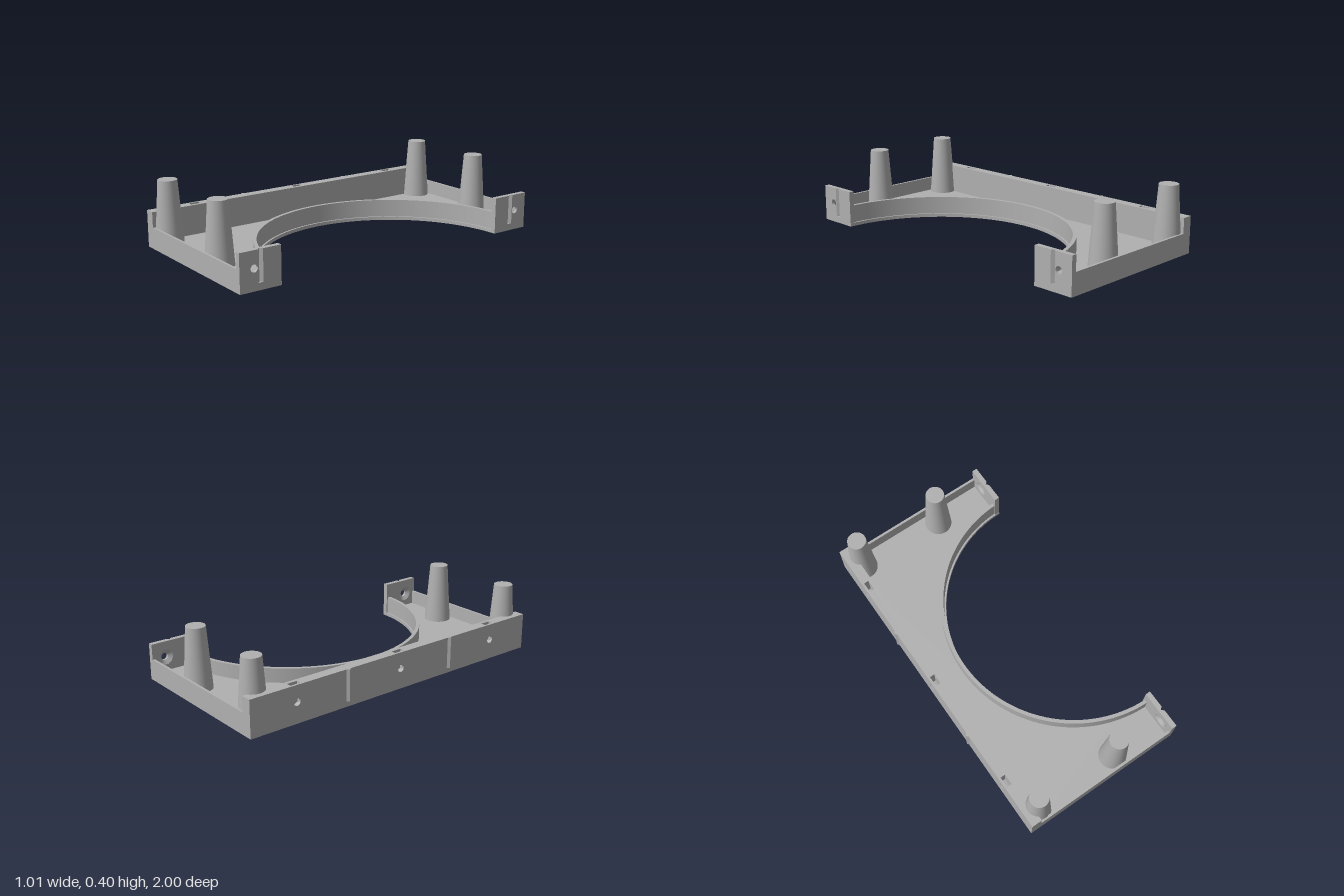
import * as THREE from 'three';
import { toCreasedNormals } from 'three/addons/utils/BufferGeometryUtils.js';

const plastic = new THREE.MeshStandardMaterial({ color: 0xb0b0b0, side: THREE.DoubleSide });
plastic.name = 'grey plastic';

const L = -0.493, R = 0.503;        // outer x limits
const WALL = 0.215, RIM = 0.125;    // tall and low wall heights
const BASE = 0.02, FLOOR = 0.04;
const POSTS = [[-0.395, 0.915], [0.145, 0.905]];

export function createModel() {
  const group = new THREE.Group();

  const add = (name, geometry, x = 0, y = 0, z = 0) => {
    const mesh = new THREE.Mesh(geometry, plastic);
    mesh.name = name;
    mesh.position.set(x, y, z);
    group.add(mesh);
    return mesh;
  };
  const outline = (pts) => new THREE.Shape(pts.map(([a, b]) => new THREE.Vector2(a, b)));
  const hole = (a, b, r) => new THREE.Path().absarc(a, b, r, 0, Math.PI * 2, true);
  const extrude = (shape, depth) => toCreasedNormals(
    new THREE.ExtrudeGeometry(shape, { depth, bevelEnabled: false, curveSegments: 72 }), 0.5);
  // plan shape (x, -z) raised from y0 to y1
  const plan = (name, shape, y0, y1) =>
    add(name, extrude(shape, y1 - y0).rotateX(-Math.PI / 2), 0, y0, 0);
  // upright shape (-z, y) running from x0 to x1
  const slab = (name, shape, x0, x1) =>
    add(name, extrude(shape, x1 - x0).rotateY(Math.PI / 2), x0, 0, 0);
  const box = (name, x0, x1, y0, y1, z0, z1) =>
    add(name, new THREE.BoxGeometry(x1 - x0, y1 - y0, z1 - z0),
      (x0 + x1) / 2, (y0 + y1) / 2, (z0 + z1) / 2);

  // rectangle with a half-round bite in its right side
  const bitten = (radius) => {
    const s = new THREE.Shape();
    s.moveTo(R, radius);
    s.absarc(R, 0, radius, Math.PI / 2, Math.PI * 1.5, false);
    [[R, -1], [L, -1], [L, 1], [R, 1]].forEach(([x, y]) => s.lineTo(x, y));
    return s;
  };

  // base plate with round recesses underneath, and the solid floor above it
  const base = bitten(0.753);
  for (const [x, z] of POSTS) for (const s of [1, -1]) base.holes.push(hole(x, s * z, 0.065));
  plan('basePlate', base, 0, BASE);
  const floor = bitten(0.77);
  plan('floor', floor, BASE, FLOOR);

  // curved rim, set back slightly from the base lip
  const rim = new THREE.Shape();
  const a0 = Math.PI / 2 + 0.02, a1 = Math.PI * 1.5 - 0.02;
  rim.absarc(R, 0, 0.785, a0, a1, false);
  rim.absarc(R, 0, 0.764, a1, a0, true);
  plan('curvedRim', rim, BASE, RIM);

  // long wall: drilled outer skin, slotted core, plain inner skin
  const stations = [-0.71, 0, 0.71];
  const rect = [[-1, BASE], [1, BASE], [1, WALL], [-1, WALL]];
  const skin = outline(rect);
  stations.forEach((z) => skin.holes.push(hole(z, 0.12, 0.021)));
  slab('longWallOuter', skin, L, -0.48);
  const core = [[-1, WALL], [-1, BASE], [1, BASE], [1, WALL]];
  [...stations].reverse().forEach((z) => core.push(
    [z + 0.032, WALL], [z + 0.032, 0.1], [z, 0.083], [z - 0.032, 0.1], [z - 0.032, WALL]));
  slab('longWallCore', outline(core), -0.48, -0.45);
  slab('longWallInner', outline(rect), -0.45, -0.43);

  for (const s of [1, -1]) {
    // locating rib on the long wall
    plan('locatingRib', outline([[L, s * 0.372 - 0.014], [L, s * 0.372 + 0.014], [-0.505, s * 0.372]]),
      0.03, WALL);

    // low side wall
    const z = [s * 0.985, s].sort((a, b) => a - b);
    box('sideWall', -0.43, 0.473, BASE, RIM, z[0], z[1]);

    // end tab: outer layer with groove and screw hole
    const g0 = 0.862, g1 = 0.892, gm = 0.877, hz = 0.915, mid = 0.488;
    const outer = outline([[0.755, BASE], [1, BASE], [1, WALL], [g1, WALL], [g1, 0.03],
      [g0, 0.03], [g0, WALL], [0.755, WALL]].map(([a, b]) => [-s * a, b]));
    outer.holes.push(hole(-s * hz, 0.12, 0.021));
    slab('endTabOuter', outer, mid, R);
    for (const g of [g0, g1])
      plan('grooveFlank', outline([[mid, -s * g], [R, -s * g], [mid, -s * gm]]), 0.03, WALL);

    // end tab: inner layer with countersink
    const inner = outline([[0.755, BASE], [1, BASE], [1, WALL], [0.755, WALL]]
      .map(([a, b]) => [-s * a, b]));
    inner.holes.push(hole(-s * hz, 0.12, 0.045));
    slab('endTabInner', inner, 0.473, mid);
    add('countersink', new THREE.CylinderGeometry(0.021, 0.045, 0.015, 40, 1, true)
      .rotateZ(-Math.PI / 2), 0.4805, 0.12, s * hz);

    // tapered posts
    for (const [x, pz] of POSTS)
      add('post', new THREE.CylinderGeometry(0.055, 0.081, 0.4 - FLOOR, 48),
        x, (0.4 + FLOOR) / 2, s * pz);
  }
  return group;
}
